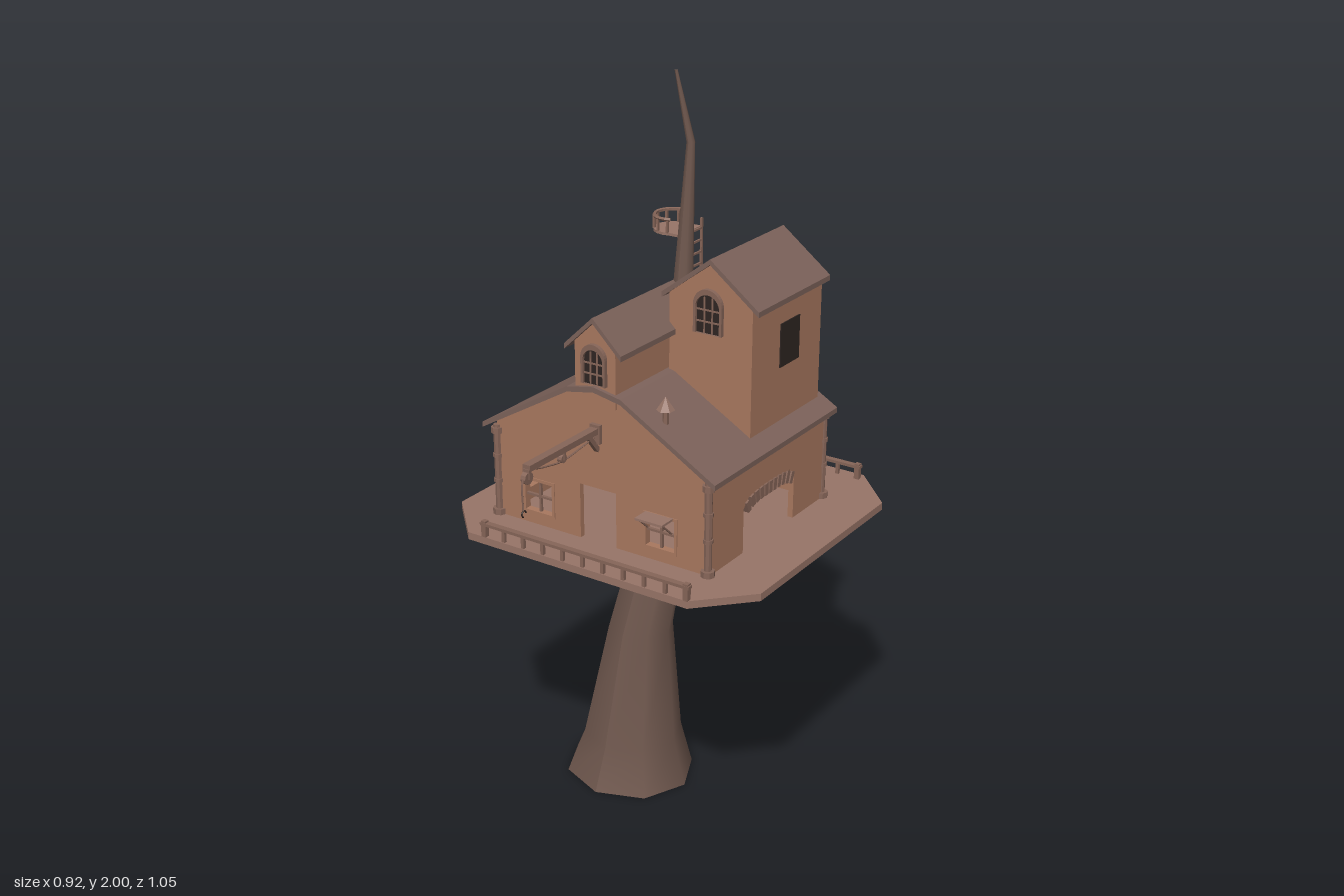
import * as THREE from 'three';

const mat = (color, flatShading = true) =>
  new THREE.MeshStandardMaterial({ color, flatShading, side: THREE.DoubleSide });
const WALL = mat(0xa8785f), ROOF = mat(0x7c625a), DECK = mat(0x977467), BARK = mat(0x725a50, false);
const WOOD = mat(0x866558), DARK = mat(0x2e2522);

export function createModel() {
  const root = new THREE.Group();
  root.name = 'treeHouse';
  let parent = root;
  const group = (name, build) => {
    const old = parent;
    const g = new THREE.Group();
    g.name = name;
    old.add(g);
    parent = g;
    build();
    parent = old;
    return g;
  };
  const add = (name, geo, m, x = 0, y = 0, z = 0) => {
    const mesh = new THREE.Mesh(geo, m);
    mesh.name = name;
    mesh.position.set(x, y, z);
    parent.add(mesh);
    return mesh;
  };
  const box = (name, w, h, d, x, y, z, m = WOOD) => add(name, new THREE.BoxGeometry(w, h, d), m, x, y, z);
  const beam = (name, a, b, w, m = WOOD) => {
    const A = new THREE.Vector3(...a), B = new THREE.Vector3(...b);
    const mesh = box(name, w, w, A.distanceTo(B), 0, 0, 0, m);
    mesh.position.copy(A).lerp(B, 0.5);
    mesh.lookAt(B);
  };
  const poly = pts => new THREE.Shape(pts.map(p => new THREE.Vector2(...p)));
  const rect = (u, y0, y1, w) => poly([[u - w / 2, y0], [u - w / 2, y1], [u + w / 2, y1], [u + w / 2, y0]]);
  const extrude = (shape, depth) =>
    new THREE.ExtrudeGeometry(shape, { depth, bevelEnabled: false, curveSegments: 8 });
  const arch = (w, h) => {
    const s = new THREE.Shape();
    s.moveTo(-w / 2, 0);
    s.lineTo(w / 2, 0);
    s.lineTo(w / 2, h - w / 2);
    s.absarc(0, h - w / 2, w / 2, 0, Math.PI);
    s.closePath();
    return s;
  };
  // Roof sheet of thickness t following a gable profile
  const roof = (name, pts, z0, z1, t = 0.014) =>
    add(name, extrude(poly([...pts, ...pts.map(([x, y]) => [x, y - t]).reverse()]), z1 - z0), ROOF, 0, 0, z0);

  // Trunk: rows of an eight-sided cylinder moved to [y, x, z, rx, rz]
  const rings = [[0, -0.14, -0.085, 0.185, 0.17], [0.13, -0.13, -0.085, 0.14, 0.135],
    [0.48, -0.09, -0.068, 0.09, 0.088], [0.75, -0.04, -0.092, 0.075, 0.072], [1, -0.02, -0.1, 0.056, 0.058],
    [1.28, -0.03, -0.14, 0.036, 0.036], [1.45, -0.016, -0.155, 0.026, 0.026],
    [1.82, 0.013, -0.14, 0.011, 0.011], [2, -0.006, -0.102, 0.004, 0.004]];
  const trunk = new THREE.CylinderGeometry(1, 1, 1, 8, rings.length - 1);
  const pos = trunk.attributes.position;
  for (let i = 0; i < pos.count; i++) {
    const [y, cx, cz, rx, rz] = rings[Math.round((pos.getY(i) + 0.5) * (rings.length - 1))];
    pos.setXYZ(i, cx + pos.getX(i) * rx, y, cz + pos.getZ(i) * rz);
  }
  trunk.computeVertexNormals();
  add('trunk', trunk, BARK);

  // Deck with cut corners
  const deck = extrude(poly([[-0.33, 0.52], [0.335, 0.52], [0.46, 0.39], [0.46, -0.225], [0.335, -0.357],
    [-0.33, -0.357], [-0.46, -0.225], [-0.46, 0.39]]), 0.02);
  deck.rotateX(-Math.PI / 2);
  add('deck', deck, DECK, 0, 0.845, 0);

  // Braces under the deck
  group('braces', () => {
    beam('brace', [-0.08, 0.7, -0.09], [-0.24, 0.85, -0.09], 0.026);
    beam('brace', [0.02, 0.71, -0.09], [0.165, 0.85, -0.09], 0.026);
    beam('brace', [-0.04, 0.7, -0.03], [-0.04, 0.85, 0.1], 0.026);
    beam('brace', [-0.04, 0.7, -0.15], [-0.04, 0.85, -0.3], 0.026);
  });

  // Railings along front and back
  for (const z of [0.35, -0.492]) group('railing', () => {
    box('rail', 0.63, 0.008, 0.016, 0.025, 0.9, z);
    for (let i = 0; i < 11; i++) box('railPost', 0.009, 0.038, 0.009, -0.28 + i * 0.061, 0.882, z);
    for (const x of [-0.28, 0.33]) box('endPost', 0.014, 0.045, 0.014, x, 0.886, z);
  });

  // Window bars and frame, built facing +z around its centre
  const squareWindow = (x, y, z, turn) => {
    const g = group('window', () => {
      const ring = rect(0, -0.05, 0.05, 0.1);
      ring.holes.push(rect(0, -0.042, 0.042, 0.084));
      add('windowFrame', extrude(ring, 0.02), WALL, 0, 0, -0.01);
      box('windowBar', 0.006, 0.085, 0.008, 0, 0, 0);
      box('windowBar', 0.085, 0.006, 0.008, 0, 0, 0);
    });
    g.position.set(x, y, z);
    g.rotation.y = turn;
  };

  // Gabled end walls with a doorway and two windows each
  const windowY = 0.943, ends = [-0.205, 0.167];
  for (const z of [0.205, -0.335]) group(z > 0 ? 'frontWall' : 'backWall', () => {
    const s = poly([[-0.335, 0.865], [-0.075, 0.865], [-0.075, 1.015], [0.035, 1.015], [0.035, 0.865],
      [0.31, 0.865], [0.31, 1.12], [0.06, 1.262], [-0.02, 1.278], [-0.1, 1.262], [-0.335, 1.125]]);
    for (const x of ends) s.holes.push(rect(x, 0.901, 0.985, 0.084));
    add('wall', extrude(s, 0.015), WALL, 0, 0, z);
    for (const x of ends) squareWindow(x, windowY, z + 0.0075, 0);
  });

  // Side walls: three windows on one side, a wide gateway on the other
  const sideWall = (name, s, x) => {
    const geo = extrude(s, 0.015);
    geo.rotateY(-Math.PI / 2);
    add(name, geo, WALL, x, 0, 0);
  };
  const sideZ = [-0.185, -0.035, 0.11];
  const plain = poly([[-0.33, 0.865], [0.215, 0.865], [0.215, 1.12], [-0.33, 1.12]]);
  for (const z of sideZ) plain.holes.push(rect(z, 0.901, 0.985, 0.084));
  sideWall('sideWall', plain, -0.32);
  for (const z of sideZ) squareWindow(-0.3275, windowY, z, Math.PI / 2);
  sideWall('gatewayWall', poly([[-0.33, 0.865], [-0.18, 0.865], [-0.18, 0.985], [-0.155, 1.01], [0.04, 1.01],
    [0.065, 0.985], [0.065, 0.865], [0.215, 0.865], [0.215, 1.12], [-0.33, 1.12]]), 0.31);
  group('gatewayStones', () => {
    for (let i = 0; i < 11; i++) {
      const t = (i - 5) / 5;
      box('stone', 0.024, 0.032, 0.014, 0.303, 1.001 - 0.014 * t ** 4, -0.058 + t * 0.105).rotation.x = t * 0.4;
    }
  });

  // Corner posts with base and capital
  for (const x of [-0.335, 0.306]) for (const z of [0.22, -0.335]) group('cornerPost', () => {
    add('post', new THREE.CylinderGeometry(0.01, 0.01, 0.25, 8), WOOD, x, 0.99, z);
    for (const [y, r, h] of [[0.872, 0.018, 0.018], [0.96, 0.013, 0.01], [1.03, 0.013, 0.01], [1.1, 0.016, 0.016]])
      add('postRing', new THREE.CylinderGeometry(r, r, h, 8), WOOD, x, y, z);
  });

  // Main roof
  roof('mainRoof', [[-0.37, 1.118], [-0.1, 1.275], [-0.02, 1.29], [0.06, 1.275], [0.332, 1.118]], -0.357, 0.235);

  const archWindow = (w, h, x, y, z) => {
    const g = group('archedWindow', () => {
      add('pane', extrude(arch(w, h), 0.004), DARK);
      const frame = arch(w + 0.014, h + 0.014);
      frame.holes.push(arch(w, h));
      add('frame', extrude(frame, 0.011), WOOD);
      for (const u of [-w / 6, w / 6]) box('bar', 0.004, h * 0.93, 0.005, u, h * 0.465, 0.004);
      for (const v of [0.3, 0.6]) box('bar', w, 0.004, 0.005, 0, h * v, 0.004);
    });
    g.position.set(x, y, z);
  };

  // Dormer over the front gable
  group('dormer', () => {
    add('dormerBody', extrude(poly([[-0.08, 1.24], [0.04, 1.24], [0.04, 1.398], [-0.02, 1.455], [-0.08, 1.398]]),
      0.335), WALL, 0, 0, -0.11);
    roof('dormerRoof', [[-0.105, 1.386], [-0.02, 1.467], [0.063, 1.386]], -0.115, 0.235);
    archWindow(0.058, 0.09, -0.02, 1.295, 0.225);
  });

  // Tower
  group('tower', () => {
    add('towerBody', extrude(poly([[0.045, 1.14], [0.285, 1.13], [0.285, 1.48], [0.165, 1.57], [0.045, 1.48]]),
      0.335), WALL, 0, 0, -0.335);
    roof('towerRoof', [[0.025, 1.478], [0.165, 1.585], [0.305, 1.478]], -0.34, 0.006);
    archWindow(0.068, 0.1, 0.162, 1.395, 0);
    for (const x of [0.045, 0.285]) box('towerSideWindow', 0.006, 0.115, 0.092, x, 1.347, -0.178, DARK);
  });

  // Roof vent
  group('vent', () => {
    add('ventPipe', new THREE.CylinderGeometry(0.008, 0.008, 0.07, 6), WOOD, 0.155, 1.225, 0.18);
    add('ventCap', new THREE.ConeGeometry(0.023, 0.035, 6), DECK, 0.155, 1.27, 0.18);
  });

  // Open shutter over the front window
  box('openShutter', 0.08, 0.006, 0.05, 0.165, 0.99, 0.245, DECK);
  for (const x of [0.13, 0.2]) beam('shutterProp', [x, 0.95, 0.22], [x, 0.988, 0.262], 0.004);

  // Hoist with pulleys, rope and hook
  group('hoist', () => {
    box('hoistBeam', 0.022, 0.016, 0.285, -0.02, 1.175, 0.36);
    box('hoistPlate', 0.03, 0.05, 0.012, -0.02, 1.165, 0.225);
    beam('hoistBrace', [-0.02, 1.12, 0.22], [-0.02, 1.17, 0.26], 0.012);
    for (const [z, r] of [[0.502, 0.016], [0.365, 0.011]]) {
      add('pulley', new THREE.CylinderGeometry(r, r, 0.014, 10), WOOD, -0.02, 1.15, z).rotation.z = Math.PI / 2;
      box('pulleyStrap', 0.02, 0.025, 0.006, -0.02, 1.16, z);
    }
    const rope = new THREE.CatmullRomCurve3([[0.22, 1.16], [0.3, 1.148], [0.365, 1.142], [0.43, 1.152],
      [0.5, 1.164], [0.518, 1.148], [0.519, 1.07]].map(([z, y]) => new THREE.Vector3(-0.02, y, z)));
    add('rope', new THREE.TubeGeometry(rope, 28, 0.0025, 5), WOOD);
    add('hook', new THREE.TorusGeometry(0.008, 0.002, 5, 10, 4.5), DARK, -0.02, 1.062, 0.517).rotation.y = Math.PI / 2;
  });

  // Lookout: round floor with an open-sided rail
  group('lookout', () => {
    const cx = -0.07, cz = -0.192, r = 0.05;
    add('lookoutFloor', new THREE.CylinderGeometry(0.053, 0.053, 0.007, 16), DECK, cx, 1.573, cz);
    box('lookoutStep', 0.05, 0.007, 0.1, cx + 0.025, 1.573, cz, DECK);
    const ring = add('lookoutRail', new THREE.TorusGeometry(r, 0.005, 5, 14, Math.PI * 1.25), WOOD, cx, 1.61, cz);
    ring.rotation.set(Math.PI / 2, 0, Math.PI * 0.375);
    for (let i = 0; i < 7; i++) {
      const a = Math.PI * (0.42 + i * 1.16 / 6);
      box('lookoutPost', 0.006, 0.036, 0.006, cx + r * Math.cos(a), 1.593, cz + r * Math.sin(a));
    }
  });

  // Ladder from the roof to the lookout
  group('ladder', () => {
    for (const z of [-0.19, -0.235]) box('ladderSide', 0.006, 0.33, 0.006, -0.014, 1.435, z);
    for (let i = 0; i < 10; i++) box('rung', 0.005, 0.005, 0.045, -0.014, 1.295 + i * 0.031, -0.2125);
  });
  return root;
}
